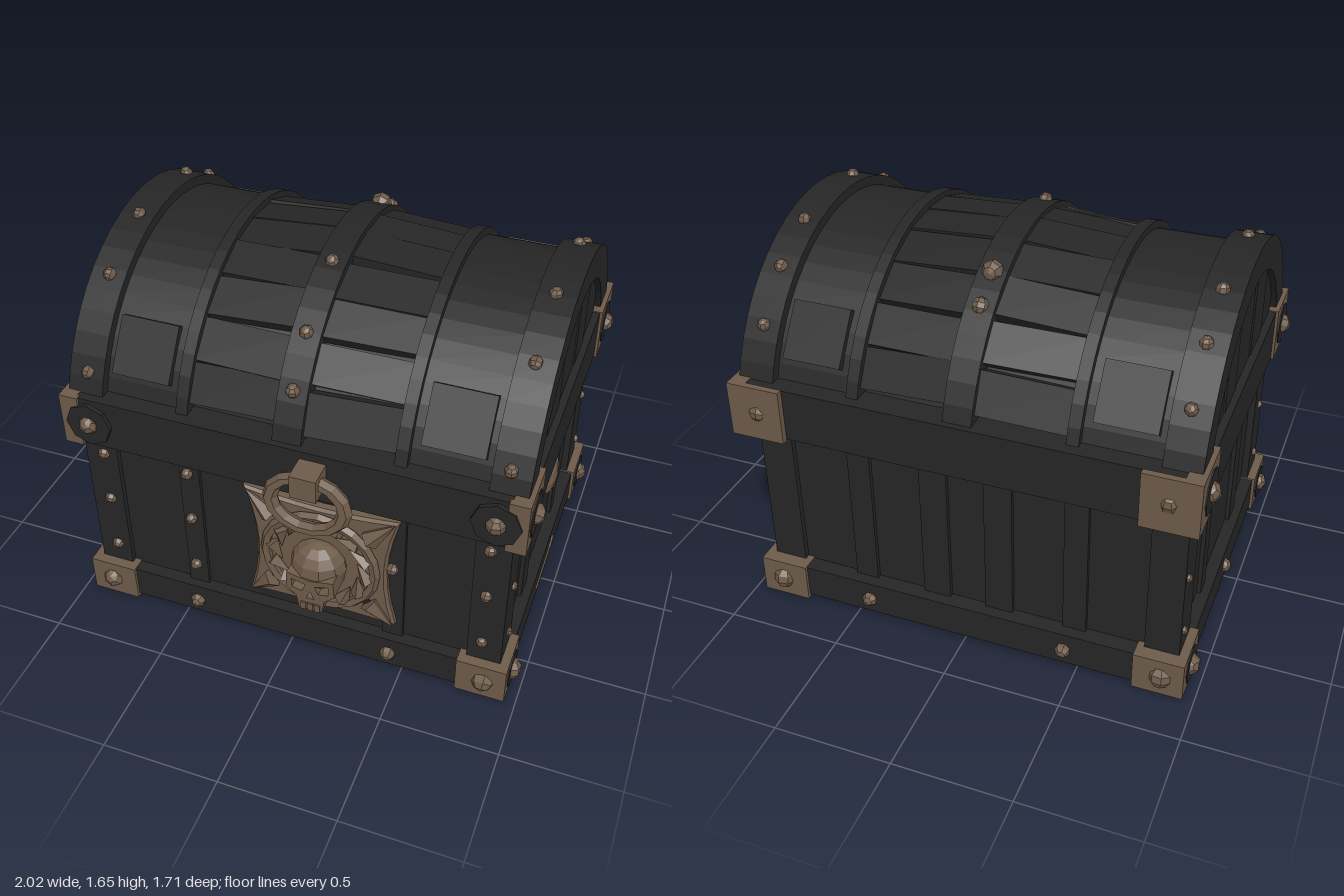
import * as THREE from 'three';

const iron = new THREE.MeshStandardMaterial({ color: 0x262626, flatShading: true });
iron.name = 'blackened wood and iron';
const bronze = new THREE.MeshStandardMaterial({ color: 0x6e5b4a, flatShading: true });
bronze.name = 'aged bronze';

const LID_Y = 0.87, LID_Z = -0.04; // axis of the barrel lid

export function createModel() {
  const chest = new THREE.Group();
  chest.name = 'treasureChest';
  let seed = 7;
  const rand = (a, b) => {
    seed = (seed * 16807) % 2147483647;
    return a + (b - a) * seed / 2147483647;
  };

  const add = (name, geo, mat, x = 0, y = 0, z = 0) => {
    const m = new THREE.Mesh(geo, mat);
    m.name = name;
    m.position.set(x, y, z);
    chest.add(m);
    return m;
  };
  // box given by its limits
  const box = (name, mat, x0, x1, y0, y1, z0, z1) =>
    add(name, new THREE.BoxGeometry(x1 - x0, y1 - y0, z1 - z0), mat, (x0 + x1) / 2, (y0 + y1) / 2, (z0 + z1) / 2);
  const rivet = (x, y, z, r = 0.026) => {
    const m = add('rivet', new THREE.SphereGeometry(r, 7, 5), bronze, x, y, z);
    m.rotation.set(rand(0, 3), rand(0, 3), 0);
    return m;
  };
  // thin disc facing along an axis
  const disc = (name, mat, axis, x, y, z, r, h = 0.012) => {
    const m = add(name, new THREE.CylinderGeometry(r, r, h, 8), mat, x, y, z);
    if (axis === 'x') m.rotation.z = Math.PI / 2;
    if (axis === 'z') m.rotation.x = Math.PI / 2;
    return m;
  };
  // extrude a (z, y) outline along x from x0 to x1
  const extrudeX = (name, mat, shape, x0, x1) => {
    const g = new THREE.ExtrudeGeometry(shape, { depth: x1 - x0, bevelEnabled: false });
    g.rotateY(-Math.PI / 2);
    return add(name, g, mat, x1, 0, 0);
  };
  const onArc = (R, a) => new THREE.Vector2(LID_Z + R * Math.sin(a), LID_Y + R * Math.cos(a));
  const arcPoints = (R, a0, a1, n) => Array.from({ length: n + 1 }, (_, i) => onArc(R, a0 + (a1 - a0) * i / n));
  const endAngle = R => Math.acos(0.21 / R);
  const barrel = R => new THREE.Shape(arcPoints(R, endAngle(R), -endAngle(R), 22));
  const hoop = (name, R, r, x0, x1) => extrudeX(name, iron, new THREE.Shape([
    ...arcPoints(R, endAngle(R), -endAngle(R), 22), ...arcPoints(r, -endAngle(r), endAngle(r), 22)]), x0, x1);

  // body and its posts
  box('body', iron, -0.885, 0.885, 0.02, 0.9, -0.715, 0.675);
  for (const s of [-1, 1]) {
    const span = (a, b) => s > 0 ? [a, b] : [-b, -a];
    box('frontPost', iron, ...span(0.77, 0.915), 0.1, 0.9, 0.53, 0.7);
    box('backPost', iron, ...span(0.77, 0.915), 0.1, 0.9, -0.74, -0.57);
    box('frontBatten', iron, ...span(0.4, 0.49), 0.1, 0.9, 0.6, 0.692);
    for (const [a, b] of [[0.19, 0.3], [-0.34, -0.26]]) box('sideBatten', iron, ...span(0.8, 0.903), 0.1, 0.9, a, b);
    for (const [a, b] of [[0.08, 0.2], [0.42, 0.52]]) box('backBatten', iron, ...span(a, b), 0.1, 0.9, -0.735, -0.6);
  }

  // bottom plinth and lid rim
  box('plinth', iron, -0.94, 0.94, 0.02, 0.17, -0.785, 0.73);
  box('lidRim', iron, -0.96, 0.96, 0.87, 1.1, -0.815, 0.735);

  // barrel lid: core, hoops
  extrudeX('lidCore', iron, barrel(0.7), -0.91, 0.91);
  for (const s of [-1, 1]) {
    const span = (a, b) => s > 0 ? [a, b] : [-b, -a];
    hoop('endHoop', 0.773, 0.635, ...span(0.8, 0.952));
    hoop('innerHoop', 0.763, 0.68, ...span(0.43, 0.48));
    extrudeX('sideShell', iron, barrel(0.732), ...span(0.47, 0.81));
    // upright boards in the lid ends
    const edges = [-0.61, -0.36, -0.16, 0.1, 0.33, 0.53];
    for (let i = 0; i < 5; i++) {
      const a = Math.asin((edges[i] + 0.008 - LID_Z) / 0.645), b = Math.asin((edges[i + 1] - 0.008 - LID_Z) / 0.645);
      const top = arcPoints(0.645, b, a, 5);
      extrudeX('lidEndBoard', iron, new THREE.Shape([...top,
        new THREE.Vector2(top[5].x, 1.05), new THREE.Vector2(top[0].x, 1.05)]), ...span(0.9, 0.928 + 0.004 * (i % 2)));
    }
    // raised square panels, front and back
    for (const a of [0.97, -0.97]) {
      const p = onArc(0.725, a);
      add('lidPanel', new THREE.BoxGeometry(0.25, 0.06, 0.24), iron, s * 0.645, p.y, p.x).rotation.x = a;
    }
    // warped planks across the middle
    for (let i = 0; i < 10; i++) {
      const a = -1.2 + 2.4 * (i + 0.5) / 10 + rand(-0.025, 0.025);
      const p = onArc(0.718, a);
      const m = add('lidPlank', new THREE.BoxGeometry(0.4, 0.055, rand(0.16, 0.178)), iron, s * 0.245, p.y, p.x);
      m.rotation.order = 'XYZ';
      m.rotation.set(a + rand(-0.06, 0.06), rand(-0.04, 0.04), -s * rand(0.03, 0.08));
    }
  }
  hoop('centreHoop', 0.783, 0.68, -0.06, 0.06);

  // rivets on the lid hoops, placed by depth
  const lidRivet = (x, z, R, r) => {
    const p = onArc(R, Math.asin((z - LID_Z) / R));
    rivet(x, p.y, p.x, r);
  };
  for (const x of [-0.87, 0.87])
    for (const z of [-0.68, -0.51, -0.3, 0.13, 0.41, 0.665]) lidRivet(x, z, 0.773, 0.028);
  for (const [z, r] of [[-0.53, 0.034], [-0.4, 0.045], [0.19, 0.03], [0.47, 0.03], [0.62, 0.03]]) lidRivet(0, z, 0.783, r);

  // rivets on the body and plinth
  for (const y of [0.28, 0.55, 0.8]) {
    for (const x of [-0.83, -0.45, 0.83]) rivet(x, y, 0.7);
    for (const s of [-1, 1]) {
      rivet(s * 0.915, y, 0.61, 0.02);
      rivet(s * 0.915, y, -0.7, 0.02);
    }
  }
  rivet(0.44, 0.56, 0.7);
  for (const x of [-0.44, 0.44]) {
    rivet(x, 0.09, 0.73, 0.034);
    rivet(x, 0.09, -0.785, 0.034);
  }
  rivet(-0.94, 0.09, -0.03, 0.034);

  // corner fittings
  for (const s of [-1, 1]) {
    const span = (a, b) => s > 0 ? [a, b] : [-b, -a];
    for (const front of [true, false]) {
      const [z0, z1] = front ? [0.525, 0.745] : [-0.8, -0.565];
      const zc = (z0 + z1) / 2, face = front ? z1 : z0, out = front ? 1 : -1;
      // lower corner
      box('lowerCorner', bronze, ...span(0.74, 0.953), 0.005, 0.178, z0, z1);
      disc('lowerCornerInset', iron, 'x', s * 0.952, 0.095, zc, 0.08);
      disc('lowerCornerFoot', iron, 'y', s * 0.85, 0.006, zc, 0.085);
      rivet(s * 0.948, 0.095, zc, 0.05).scale.setScalar(0.95);
      rivet(s * 0.855, 0.09, face - out * 0.014, 0.05);
      // upper corner
      const off = front ? 0 : -0.02;
      box('upperCornerSide', bronze, ...span(0.9, 0.972), 0.865, 1.105, z0 - 0.015 + off, z1 + off);
      disc('upperCornerInset', iron, 'x', s * 0.971, 0.985, zc + off, 0.095);
      rivet(s * 0.968, 0.985, zc + off, 0.045);
      box('upperCornerFace', bronze, ...span(front ? 0.89 : 0.74, 0.972), 0.865, 1.105,
        face + off - 0.025, face + off + 0.003);
      disc('upperCornerInset', iron, 'z', s * 0.85, 0.985, face + off, 0.1, 0.018);
      rivet(s * 0.85, 0.985, face + off, 0.043);
    }
    // ragged bronze strap under the rim
    const strap = new THREE.Shape([[0.21, 0.79], [0.19, 0.76], [0.08, 0.765], [-0.02, 0.75], [-0.13, 0.78], [-0.2, 0.765],
      [-0.31, 0.78], [-0.31, 0.82], [-0.2, 0.81], [-0.16, 0.86], [-0.07, 0.85], [-0.03, 0.815], [0.06, 0.8]]
      .map(p => new THREE.Vector2(...p)));
    extrudeX('sideStrap', bronze, strap, ...span(0.87, 0.93));
  }

  // boss and worn streak on the left side
  const boss = add('sideBoss', new THREE.SphereGeometry(0.104, 10, 6), bronze, 0.9, 0.585, -0.06);
  boss.scale.set(0.4, 0.95, 1);
  extrudeX('plinthStreak', bronze, new THREE.Shape([[0.15, 0.08], [0.1, 0.075], [-0.08, 0.07], [-0.2, 0.085],
    [-0.16, 0.13], [-0.11, 0.1]].map(p => new THREE.Vector2(...p))), 0.92, 0.947);

  // emblem plate with flared corners
  const cx = 0.14, cy = 0.545;
  const plate = new THREE.Shape();
  const h = 0.31, k = 0.225;
  plate.moveTo(-h, -h + 0.03);
  plate.quadraticCurveTo(0, -k - 0.04, h, -h + 0.03);
  plate.quadraticCurveTo(k, 0, h + 0.01, h - 0.03);
  plate.quadraticCurveTo(0, k, -h - 0.01, h - 0.03);
  plate.quadraticCurveTo(-k, 0, -h, -h + 0.03);
  add('emblemPlate', new THREE.ExtrudeGeometry(plate, {
    depth: 0.03, bevelThickness: 0.012, bevelSize: 0.012, bevelSegments: 1, curveSegments: 6 }), bronze, cx, cy, 0.68);
  add('emblemRing', new THREE.TorusGeometry(0.238, 0.022, 5, 20), bronze, cx, cy - 0.01, 0.73);
  for (let i = 0; i < 14; i++) {
    const a = i / 14 * Math.PI * 2;
    const leaf = add('emblemLeaf', new THREE.ConeGeometry(0.035, 0.1, 4), bronze,
      cx + 0.185 * Math.cos(a), cy - 0.01 + 0.185 * Math.sin(a), 0.735);
    leaf.rotation.z = a + 0.5;
  }
  for (const sx of [-1, 1]) for (const sy of [-1, 1]) {
    const tip = add('emblemTip', new THREE.ConeGeometry(0.045, 0.15, 5), bronze, cx + sx * 0.265, cy + sy * 0.235, 0.73);
    tip.rotation.z = Math.atan2(sy, sx) - Math.PI / 2;
    disc('emblemHollow', iron, 'z', cx + sx * 0.205, cy + sy * 0.19, 0.722, 0.022, 0.008);
  }

  // skull: cranium, pierced face, teeth
  const skull = add('skullCranium', new THREE.SphereGeometry(0.12, 10, 8), bronze, cx, 0.535, 0.74);
  skull.scale.set(1, 0.95, 0.88);
  const face = new THREE.Shape([[-0.1, 0.03], [-0.105, -0.05], [-0.06, -0.09], [-0.05, -0.155], [0.05, -0.155],
    [0.06, -0.09], [0.105, -0.05], [0.1, 0.03], [0, 0.01]].map(p => new THREE.Vector2(...p)));
  for (const s of [-1, 1]) face.holes.push(new THREE.Path([[s * 0.02, -0.015], [s * 0.08, 0], [s * 0.078, -0.045],
    [s * 0.035, -0.055]].map(p => new THREE.Vector2(...p))));
  face.holes.push(new THREE.Path([[0, -0.05], [0.018, -0.09], [-0.018, -0.09]].map(p => new THREE.Vector2(...p))));
  add('skullFace', new THREE.ExtrudeGeometry(face, { depth: 0.13, bevelEnabled: false }), bronze, cx, 0.515, 0.715);
  for (let i = -1; i <= 1; i++) box('skullTooth', bronze, cx + i * 0.03 - 0.012, cx + i * 0.03 + 0.012, 0.362, 0.4, 0.74, 0.851);

  // ring handle hanging from a clasp
  const ring = add('ringHandle', new THREE.TorusGeometry(0.155, 0.032, 6, 14), bronze, 0.12, 0.905, 0.8);
  ring.scale.set(1, 0.78, 1);
  ring.rotation.x = -0.08;
  box('ringClasp', bronze, 0.065, 0.175, 0.96, 1.065, 0.72, 0.845);

  return chest;
}
